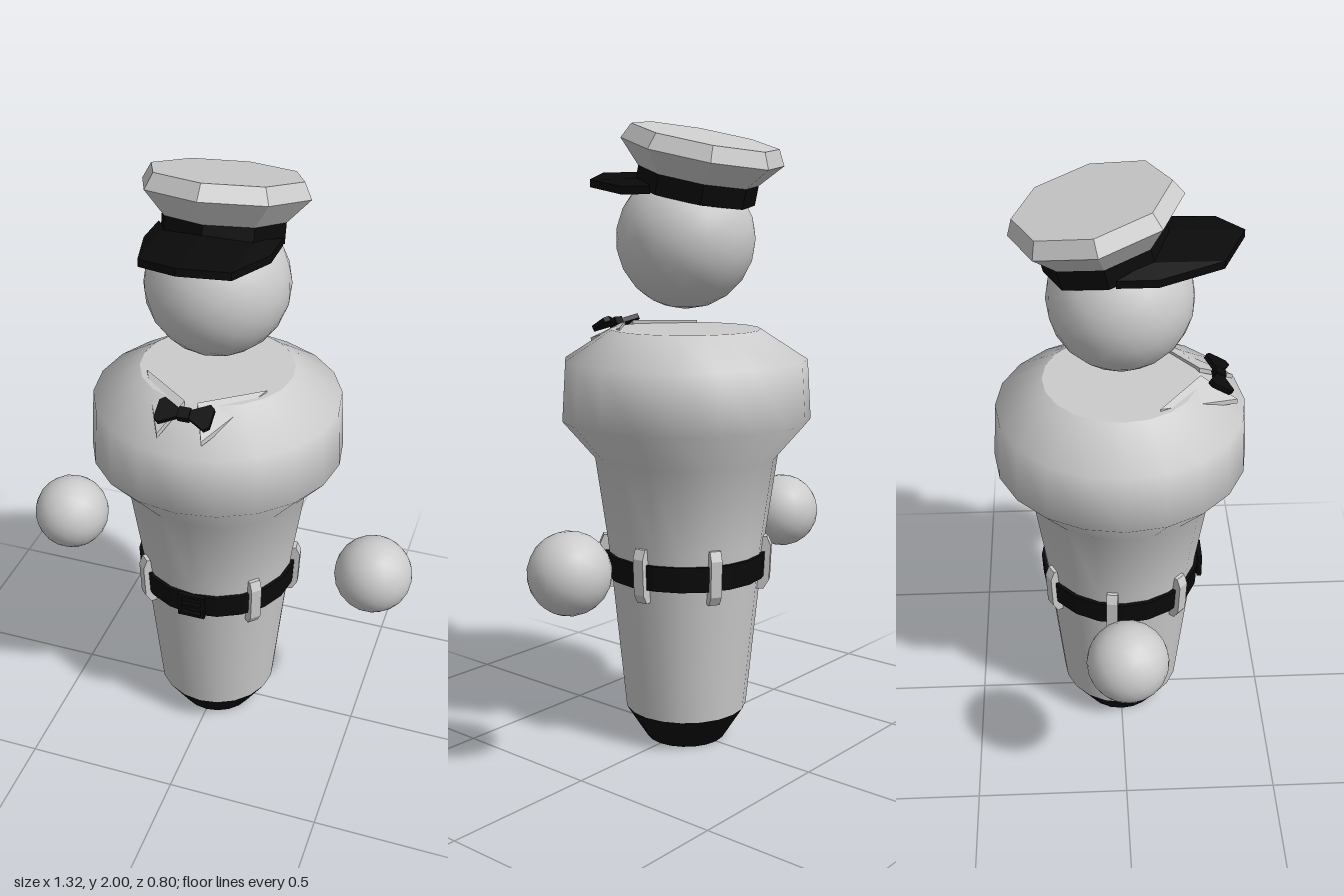
import * as THREE from 'three';

const grey = new THREE.MeshStandardMaterial({ color: 0xcccccc });
const greyFlat = new THREE.MeshStandardMaterial({ color: 0xcccccc, flatShading: true });
const black = new THREE.MeshStandardMaterial({ color: 0x0a0a0a });
const blackFlat = new THREE.MeshStandardMaterial({ color: 0x0a0a0a, flatShading: true });

function add(parent, name, geometry, material, x = 0, y = 0, z = 0) {
  const mesh = new THREE.Mesh(geometry, material);
  mesh.name = name;
  mesh.position.set(x, y, z);
  parent.add(mesh);
  return mesh;
}

const points = (list) => list.map(([x, y]) => new THREE.Vector2(x, y));
const lathe = (list, sides = 20) => new THREE.LatheGeometry(points(list), sides);
const extrude = (shape, depth) =>
  new THREE.ExtrudeGeometry(shape, { depth, bevelEnabled: false }).translate(0, 0, -depth / 2);

// Thin triangular slab, corners given counter-clockwise from above
function slab(corners, thickness) {
  const positions = [];
  for (const lift of [0, thickness]) for (const [x, y, z] of corners) positions.push(x, y + lift, z);
  const index = [3, 4, 5, 2, 1, 0];
  for (let i = 0; i < 3; i++) {
    const j = (i + 1) % 3;
    index.push(i, j, j + 3, i, j + 3, i + 3);
  }
  const geometry = new THREE.BufferGeometry();
  geometry.setAttribute('position', new THREE.Float32BufferAttribute(positions, 3));
  geometry.setIndex(index);
  geometry.computeVertexNormals();
  return geometry;
}

// Visor: a box whose columns follow the brim outline and droop to the sides
function visorGeometry() {
  const xs = [-0.19, -0.135, 0, 0.135, 0.19];
  const front = [0.1, 0.285, 0.355, 0.285, 0.1];
  const back = [-0.02, 0.07, 0.12, 0.07, -0.02];
  const geometry = new THREE.BoxGeometry(4, 0.024, 1, 4, 1, 1);
  const p = geometry.attributes.position;
  for (let i = 0; i < p.count; i++) {
    const column = Math.round(p.getX(i) + 2);
    const x = xs[column];
    const z = p.getZ(i) > 0 ? front[column] : back[column];
    p.setXYZ(i, x, 1.834 + p.getY(i) - 1.37 * x * x, z);
  }
  geometry.computeVertexNormals();
  return geometry;
}

export function createModel() {
  const model = new THREE.Group();
  model.name = 'figure';

  // Body
  add(model, 'shoes', lathe([[0.13, 0], [0.2, 0.11]]), black);
  add(model, 'sole', new THREE.CircleGeometry(0.13, 20).rotateX(Math.PI / 2), black);
  add(model, 'torso', lathe([
    [0.2, 0.11], [0.245, 0.56], [0.258, 0.68], [0.297, 0.95],
    [0.4, 1.07], [0.388, 1.26], [0.24, 1.355],
  ]), grey);
  add(model, 'neckTop', new THREE.CircleGeometry(0.24, 20).rotateX(-Math.PI / 2), grey, 0, 1.355);
  add(model, 'head', new THREE.IcosahedronGeometry(0.22, 3), grey, 0, 1.637, 0);
  for (const side of [-1, 1]) {
    add(model, side > 0 ? 'leftHand' : 'rightHand',
      new THREE.IcosahedronGeometry(0.127, 3), grey, side * 0.535, 0.667, 0);
  }

  // Belt with loops
  const belt = new THREE.Group();
  belt.name = 'belt';
  model.add(belt);
  add(belt, 'beltBand', lathe([[0.24, 0.56], [0.262, 0.56], [0.266, 0.64], [0.245, 0.64]]), blackFlat);
  const loopShape = new THREE.Shape(points([
    [0.235, 0.515], [0.258, 0.515], [0.276, 0.545], [0.281, 0.66], [0.268, 0.69], [0.245, 0.69],
  ]));
  for (const side of [-1, 1]) {
    for (const angle of [45, 98, 150]) {
      const loop = add(belt, 'beltLoop', extrude(loopShape, 0.036), greyFlat);
      loop.rotation.y = side * THREE.MathUtils.degToRad(angle) - Math.PI / 2;
    }
  }

  // Buckle frame and prong
  const frame = new THREE.Shape(points([[-0.045, -0.042], [0.045, -0.042], [0.045, 0.042], [-0.045, 0.042]]));
  frame.holes.push(new THREE.Path(points([[-0.034, -0.031], [-0.034, 0.031], [0.034, 0.031], [0.034, -0.031]])));
  add(belt, 'buckle', extrude(frame, 0.016), black, 0, 0.603, 0.267);
  add(belt, 'buckleProng', new THREE.BoxGeometry(0.075, 0.01, 0.012), black, 0.005, 0.603, 0.268);

  // Collar flaps
  for (const side of [-1, 1]) {
    const corners = [[0.02, 1.35, 0.245], [0.068, 1.292, 0.355], [0.19, 1.347, 0.11]]
      .map(([x, y, z]) => [side * x, y, z]);
    if (side < 0) corners.reverse();
    add(model, side > 0 ? 'leftCollar' : 'rightCollar', slab(corners, 0.016), greyFlat);
  }

  // Bow tie lying on the chest slope
  const bow = new THREE.Shape(points([
    [-0.085, -0.03], [-0.07, -0.042], [-0.018, -0.014], [0.018, -0.014], [0.07, -0.042], [0.085, -0.03],
    [0.085, 0.03], [0.07, 0.042], [0.018, 0.014], [-0.018, 0.014], [-0.07, 0.042], [-0.085, 0.03],
  ]));
  const tie = add(model, 'bowTie', extrude(bow, 0.016), black, 0, 1.357, 0.303);
  tie.rotation.x = -1.05;
  add(tie, 'bowKnot', new THREE.BoxGeometry(0.036, 0.036, 0.026), black);

  // Peaked cap, tilted back
  const cap = new THREE.Group();
  cap.name = 'cap';
  cap.position.set(0, 1.77, -0.038);
  cap.rotation.x = -0.235;
  model.add(cap);
  add(cap, 'capBand', lathe([[0.15, 0], [0.19, 0], [0.19, 0.064]], 8), blackFlat);
  add(cap, 'capCrown', lathe([[0.19, 0.062], [0.257, 0.135], [0.232, 0.183], [0, 0.183]], 8), greyFlat);
  add(model, 'visor', visorGeometry(), blackFlat);

  return model;
}
